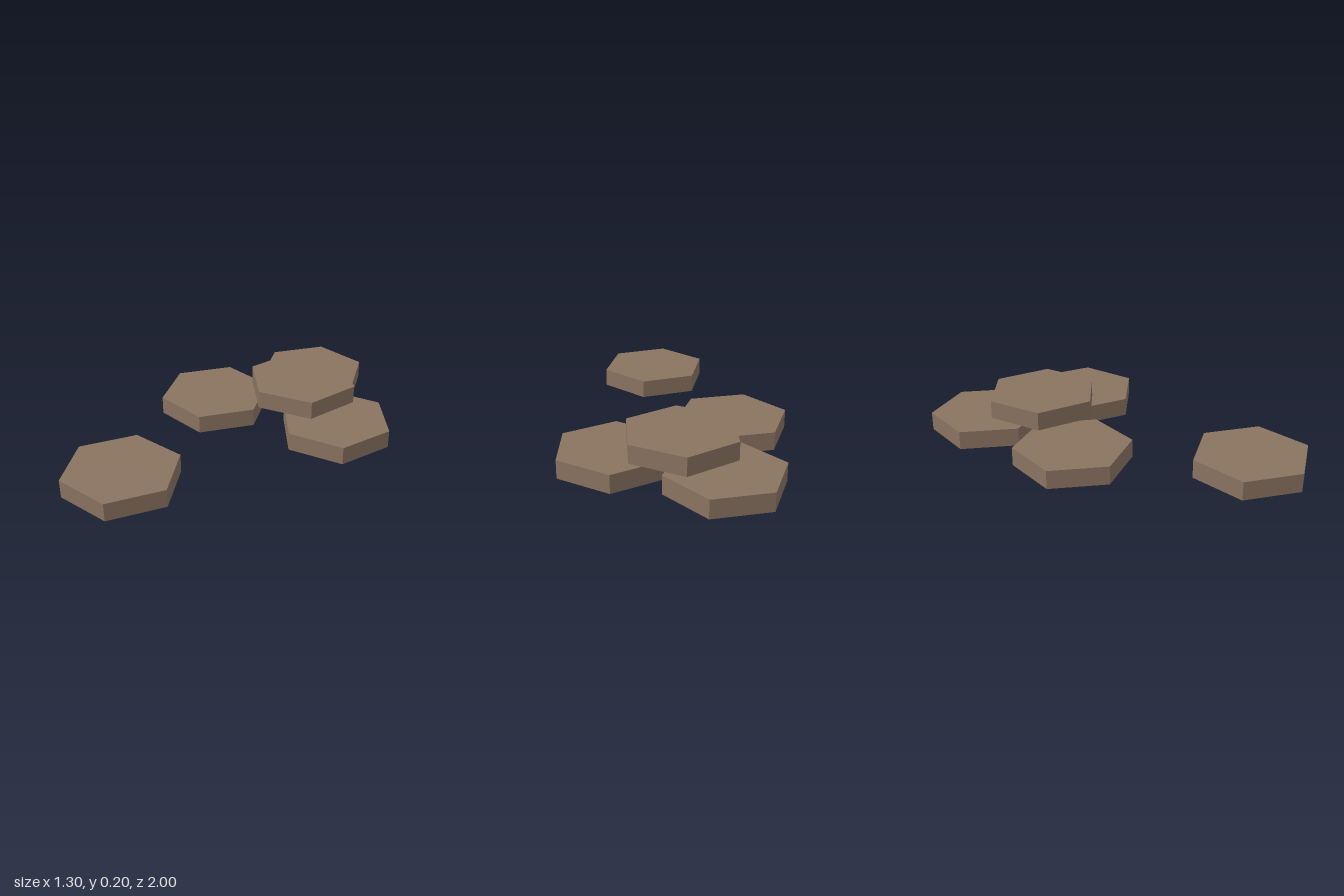
import * as THREE from 'three';
import { mergeGeometries } from 'three/addons/utils/BufferGeometryUtils.js';

const RADIUS = 0.305;
const HEIGHT = 0.098;

// Hollow hexagonal slab: six flat walls and a lid, open underneath
function hexShell() {
  const wall = new THREE.CylinderGeometry(RADIUS, RADIUS, HEIGHT, 6, 1, true, Math.PI / 2).toNonIndexed();
  wall.translate(0, HEIGHT / 2, 0);
  wall.computeVertexNormals();
  const lid = new THREE.CircleGeometry(RADIUS, 6).toNonIndexed();
  lid.rotateX(-Math.PI / 2).translate(0, HEIGHT, 0);
  return mergeGeometries([wall, lid]);
}

export function createModel() {
  const model = new THREE.Group();
  model.name = 'hexStones';
  const stone = new THREE.MeshStandardMaterial({ color: 0x8a7360, side: THREE.DoubleSide, flatShading: true });
  stone.name = 'brown stone';
  const geometry = hexShell();

  // Name, x, y, z, turn in degrees
  const stones = [
    ['frontStone', -0.21, 0, 0.735, 0],
    ['rightStone', -0.35, 0, -0.147, -6.5],
    ['backStone', -0.078, 0, -0.72, -6.6],
    ['leftStone', 0.352, 0, -0.317, 11],
    ['upperStone', 0.042, HEIGHT, -0.443, 14.8],
  ];
  for (const [name, x, y, z, turn] of stones) {
    const mesh = new THREE.Mesh(geometry, stone);
    mesh.name = name;
    mesh.position.set(x, y, z);
    mesh.rotation.y = THREE.MathUtils.degToRad(turn);
    model.add(mesh);
  }
  return model;
}
